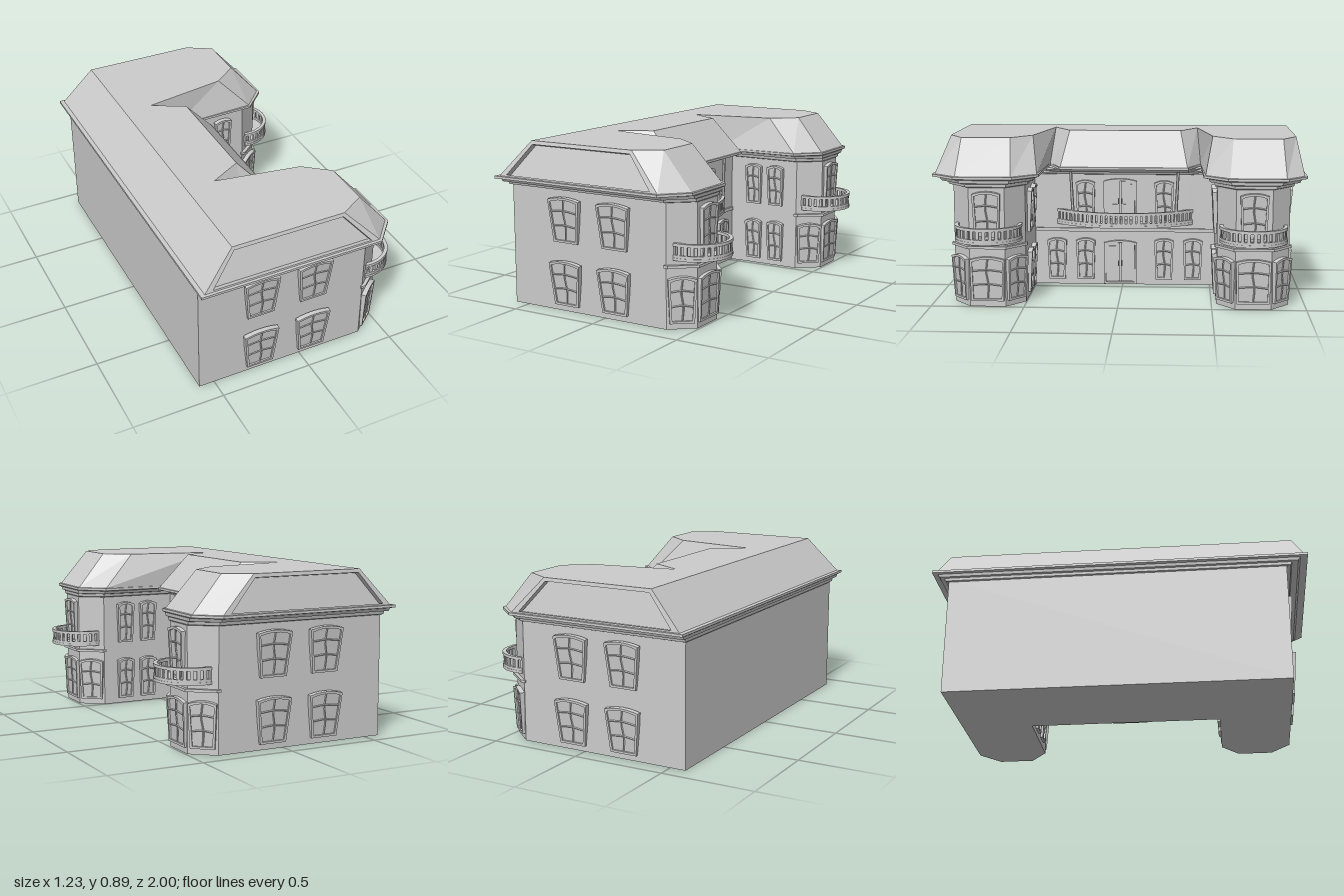
import * as THREE from 'three';

const mat = new THREE.MeshStandardMaterial({ color: 0xcccccc, flatShading: true, side: THREE.DoubleSide });
const SHIFT = -0.012; // the house sits slightly off centre under its eaves

function add(parent, name, geo, x = 0, y = 0, z = 0) {
  const m = new THREE.Mesh(geo, mat);
  m.name = name;
  m.position.set(x, y, z);
  parent.add(m);
  return m;
}

// Closed plan outline from the +z half, mirrored to -z; outermost eave points stay unshifted
function ring(half) {
  const all = [...half, ...half.map(([x, z]) => [x, -z]).reverse()];
  return all.map(([x, z]) => [x, Math.abs(z) > 0.97 ? z : z + SHIFT]);
}
const mix = (a, b, t) => a.map((p, i) => [p[0] + (b[i][0] - p[0]) * t, p[1] + (b[i][1] - p[1]) * t]);
const at = (r, y) => r.map(([x, z]) => new THREE.Vector3(x, y, z));

function quadGeo(quads) {
  const pos = [];
  for (const [a, b, c, d] of quads) for (const p of [a, b, c, a, c, d]) pos.push(p.x, p.y, p.z);
  const g = new THREE.BufferGeometry();
  g.setAttribute('position', new THREE.Float32BufferAttribute(pos, 3));
  g.computeVertexNormals();
  return g;
}
function loft(rings, skip = []) {
  const quads = [];
  for (let k = 0; k + 1 < rings.length; k++) {
    const lo = rings[k], hi = rings[k + 1], n = lo.length;
    for (let i = 0; i < n; i++) {
      const j = (i + 1) % n;
      if (!skip.includes(i)) quads.push([lo[i], lo[j], hi[j], hi[i]]);
    }
  }
  return quads;
}
const planShape = (r) => new THREE.Shape(r.map(([x, z]) => new THREE.Vector2(x, -z)));
const flat = (shape, h) => new THREE.ExtrudeGeometry(shape, { depth: h, bevelEnabled: false, curveSegments: 24 }).rotateX(-Math.PI / 2);

const wallPlan = ring([[-0.585, 0.9], [0.37, 0.9], [0.49, 0.8], [0.49, 0.61], [0.37, 0.515], [-0.065, 0.515], [-0.065, 0.36]]);
const eavePlan = ring([[-0.615, 1.0], [0.39, 1.0], [0.51, 0.88], [0.51, 0.565], [0.385, 0.44], [-0.1, 0.43], [0.088, 0.36]]);
const basePlan = ring([[-0.592, 0.985], [0.385, 0.985], [0.498, 0.87], [0.498, 0.575], [0.38, 0.45], [-0.1, 0.43], [0.083, 0.355]]);
const topPlan = ring([[-0.42, 0.94], [0.2, 0.94], [0.335, 0.86], [0.335, 0.597], [0.2, 0.49], [-0.26, 0.412], [-0.085, 0.315]]);

function buildRoof(g) {
  // Stepped cornice growing from the wall line to the eaves
  const steps = [[0, 0.64], [0.2, 0.645], [0.25, 0.66], [0.55, 0.664], [0.65, 0.68], [1, 0.686], [1, 0.699]];
  const rings = steps.map(([t, y]) => at(mix(wallPlan, eavePlan, t), y));
  add(g, 'cornice', quadGeo(loft([...rings, at(basePlan, 0.7)])));

  // Sloped roof, leaving the two end slopes open for sunken panels
  const lo = at(basePlan, 0.7), hi = at(topPlan, 0.89);
  add(g, 'roofSlopes', quadGeo(loft([lo, hi], [0, 12])));
  add(g, 'roofTop', new THREE.ShapeGeometry(planShape(topPlan)).rotateX(-Math.PI / 2), 0, 0.89, 0);
  for (const i of [0, 12]) {
    const outer = [lo[i], lo[i + 1], hi[i + 1], hi[i]];
    const inset = [[0.04, 0.04], [0.96, 0.04], [0.96, 0.9], [0.04, 0.9]].map(([u, v]) =>
      outer[0].clone().lerp(outer[1], u).lerp(outer[3].clone().lerp(outer[2], u), v));
    const n = outer[1].clone().sub(outer[0]).cross(outer[3].clone().sub(outer[0])).normalize();
    const sunk = inset.map((p) => p.clone().addScaledVector(n, -0.03));
    add(g, 'endRoofPanel', quadGeo([...loft([outer, inset, sunk]), sunk]));
  }
}

// Trapezoid with a gently arched head, standing on y = 0
function pane(wb, wt, h, inset, Type) {
  const s = new Type(), b = wb / 2 - inset, t = wt / 2 - inset;
  s.moveTo(-b, inset);
  s.lineTo(b, inset);
  s.lineTo(t, h - inset - 0.014);
  s.quadraticCurveTo(0, h - inset + 0.014, -t, h - inset - 0.014);
  s.closePath();
  return s;
}
const solid = (s, depth) => new THREE.ExtrudeGeometry(s, { depth, bevelEnabled: false, curveSegments: 6 });

function addWindow(parent, x, y, z, turn, wb, wt, h = 0.24, tilt = 0.08) {
  const w = new THREE.Group();
  w.name = 'window';
  w.position.set(x, y, z);
  w.rotation.set(tilt, turn, 0, 'YXZ');
  const frame = pane(wb, wt, h, 0, THREE.Shape);
  frame.holes.push(pane(wb, wt, h, 0.012, THREE.Path));
  add(w, 'windowFrame', solid(frame, 0.025), 0, 0, -0.013);
  add(w, 'windowPane', solid(pane(wb, wt, h, 0.011, THREE.Shape), 0.018), 0, 0, -0.015);
  // Crooked glazing bars
  const bar = (pts) => add(w, 'glazingBar', new THREE.TubeGeometry(
    new THREE.CatmullRomCurve3(pts.map(([a, b]) => new THREE.Vector3(a, b, 0.005))), 8, 0.004, 4));
  bar([[0, 0.01], [0.006, h * 0.35], [-0.005, h * 0.65], [0.002, h - 0.012]]);
  for (const f of [0.36, 0.68]) {
    const r = (wb + (wt - wb) * f) / 2 - 0.01;
    bar([[-r, h * f], [0, h * f + 0.006], [r, h * f - 0.003]]);
  }
  parent.add(w);
}

function addDoor(parent, x, y, z, h) {
  const d = new THREE.Group();
  d.name = 'door';
  d.position.set(x, y, z);
  d.rotation.y = Math.PI / 2;
  const frame = pane(0.19, 0.19, h, 0, THREE.Shape);
  frame.holes.push(pane(0.19, 0.19, h, 0.012, THREE.Path));
  add(d, 'doorFrame', solid(frame, 0.02), 0, 0, -0.005);
  for (const s of [-1, 1]) {
    add(d, 'doorLeaf', new THREE.BoxGeometry(0.08, h - 0.03, 0.016), s * 0.042, h / 2, 0);
    add(d, 'doorPanel', new THREE.BoxGeometry(0.05, h * 0.35, 0.006), s * 0.042, h * 0.7, 0.009);
    add(d, 'doorPanel', new THREE.BoxGeometry(0.05, h * 0.28, 0.006), s * 0.042, h * 0.27, 0.009);
    add(d, 'doorHandle', new THREE.BoxGeometry(0.005, 0.03, 0.012), s * 0.01, h * 0.48, 0.012);
  }
  parent.add(d);
}

// Bowed balcony: floor, two curved rails and balusters
function addBalcony(parent, cx, z, r, a, count) {
  const b = new THREE.Group();
  b.name = 'balcony';
  b.position.set(cx, 0, z);
  const band = (r0, r1) => {
    const s = new THREE.Shape();
    s.absarc(0, 0, r1, -a, a, false);
    if (r0) s.absarc(0, 0, r0, a, -a, true);
    return s;
  };
  add(b, 'balconyFloor', flat(band(0, r), 0.014), 0, 0.354, 0);
  add(b, 'lowerRail', flat(band(r - 0.016, r - 0.002), 0.014), 0, 0.368, 0);
  add(b, 'topRail', flat(band(r - 0.02, r), 0.016), 0, 0.425, 0);
  for (let i = 0; i <= count; i++) {
    const t = -a + (2 * a * i) / count;
    const p = add(b, 'baluster', new THREE.BoxGeometry(0.01, 0.05, 0.018), (r - 0.01) * Math.cos(t), 0.402, (r - 0.01) * Math.sin(t));
    p.rotation.y = -t;
  }
  parent.add(b);
}

export function createModel() {
  const model = new THREE.Group();
  model.name = 'house';
  add(model, 'walls', flat(planShape(wallPlan), 0.655));
  buildRoof(model);

  const body = new THREE.Group();
  body.name = 'facadeDetails';
  body.position.z = SHIFT;
  model.add(body);

  for (const s of [-1, 1]) {
    const place = (x, y, z, turn, ...rest) => addWindow(body, x, y, z * s, s > 0 ? turn : Math.PI - turn, ...rest);
    // End wall and courtyard windows on both storeys
    for (const y of [0.032, 0.368]) {
      for (const x of [-0.238, 0.066]) place(x, y, 0.902, 0, 0.15, 0.195);
      for (const x of [0.09, 0.235]) place(x, y, 0.513, Math.PI, 0.09, 0.105, 0.24, 0.05);
      place(-0.063, y, 0.225, Math.PI / 2, 0.095, 0.11, 0.24, 0.03);
    }
    place(-0.063, 0.032, 0.39, Math.PI / 2, 0.095, 0.11, 0.24, 0.03);
    // Wing bay windows
    place(0.432, 0.032, 0.852, 0.69, 0.125, 0.145, 0.24, 0.05);
    place(0.432, 0.032, 0.56, Math.PI - 0.67, 0.125, 0.145, 0.24, 0.05);
    place(0.491, 0.032, 0.705, Math.PI / 2, 0.175, 0.185, 0.24, 0.03);
    place(0.491, 0.368, 0.705, Math.PI / 2, 0.13, 0.15, 0.255, 0.04);

    // Ledge around the bay
    const ledge = [[0.36, 0.91], [0.385, 0.91], [0.508, 0.81], [0.508, 0.6], [0.385, 0.503], [0.36, 0.503]];
    add(body, 'bayLedge', flat(planShape(ledge.map(([x, z]) => [x, z * s])), 0.014), 0, 0.315, 0);
    addBalcony(body, 0.43, 0.705 * s, 0.18, 1.75, 18);

    // Leaning post between the central balcony and the eaves
    const post = add(body, 'porchPost', new THREE.CylinderGeometry(0.008, 0.01, 0.33, 6), 0.0, 0.525, 0.297 * s);
    post.rotation.x = 0.05 * s;
  }

  // Central courtyard front
  addBalcony(body, -0.46, 0, 0.555, 0.775, 30);
  addDoor(body, -0.06, 0.005, 0.025, 0.255);
  addDoor(body, -0.06, 0.368, 0.025, 0.25);
  add(body, 'courtyardBand', new THREE.BoxGeometry(0.016, 0.02, 1.02), -0.062, 0.32, 0);
  return model;
}
